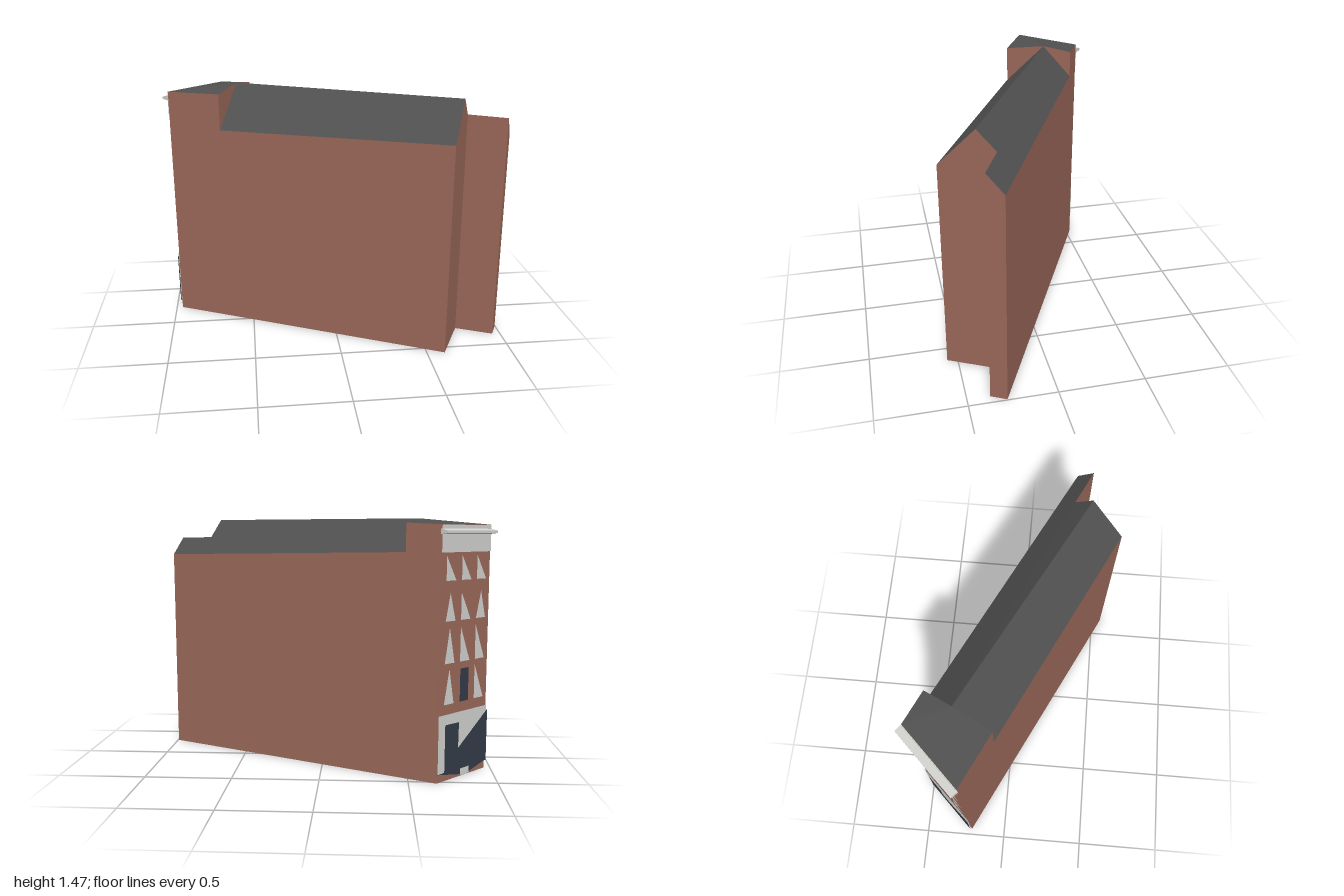
import * as THREE from 'three';

const material = (name, color, side = THREE.FrontSide) => {
  const m = new THREE.MeshStandardMaterial({ color, side });
  m.name = name;
  return m;
};

export function createModel() {
  const brick = material('brick', 0x986658);
  const slate = material('slate', 0x505050);
  const stone = material('pale stone', 0xcececb, THREE.DoubleSide);
  const glass = material('dark glass', 0x323a45, THREE.DoubleSide);

  const model = new THREE.Group();
  model.name = 'townhouse';

  // Plan corners as [x, z]
  const A = [-0.963, -0.213], B = [-0.657, -0.527]; // street front
  const P = [-0.66, -0.064], R = [-0.553, -0.28], Q = [-0.473, -0.437]; // step behind the street front
  const C = [0.605, 0.56], X = [0.697, 0.372], E = [0.745, 0.275]; // far gable
  const F = [0.952, 0.372], D = [0.995, 0.285]; // narrow rear wing
  const at = ([x, z], y) => [x, y, z];

  // One flat-faced mesh from convex polygons
  function faces(name, mat, polygons) {
    const pos = [];
    for (const p of polygons)
      for (let i = 1; i < p.length - 1; i++) pos.push(...p[0], ...p[i], ...p[i + 1]);
    const g = new THREE.BufferGeometry();
    g.setAttribute('position', new THREE.Float32BufferAttribute(pos, 3));
    g.computeVertexNormals();
    const mesh = new THREE.Mesh(g, mat);
    mesh.name = name;
    model.add(mesh);
  }
  const wall = (p, yp, q, yq) => [at(p, 0), at(q, 0), at(q, yq), at(p, yp)];

  // Outer walls, anticlockwise around the plan
  faces('walls', brick, [
    wall(A, 1.43, P, 1.435), wall(P, 1.22, C, 1.25),
    wall(C, 1.25, X, 1.465), wall(X, 1.465, E, 1.355),
    wall(E, 1.355, F, 1.35), wall(F, 1.35, D, 1.245),
    wall(D, 1.245, Q, 1.28), wall(Q, 1.44, B, 1.43), wall(B, 1.43, A, 1.43),
  ]);
  // Wall pieces rising above the main roof
  faces('stepWall', brick, [
    [at(P, 1.22), at(R, 1.465), at(P, 1.435)],
    [at(R, 1.465), at(Q, 1.28), at(Q, 1.44)],
  ]);
  faces('base', brick, [[A, B, E], [A, E, C], [B, D, E], [E, D, F]]
    .map((t) => t.map((p) => at(p, 0))));

  // Roofs
  faces('frontRoofSlope', slate, [[at(P, 1.22), at(C, 1.25), at(X, 1.465), at(R, 1.465)]]);
  faces('backRoofSlope', slate, [
    [at(R, 1.465), at(X, 1.465), at(E, 1.355)],
    [at(Q, 1.28), at(R, 1.465), at(E, 1.355)],
    [at(Q, 1.28), at(E, 1.355), at(D, 1.245)],
    [at(E, 1.355), at(F, 1.35), at(D, 1.245)],
  ]);
  faces('streetBlockRoof', slate, [
    [at(A, 1.43), at(P, 1.435), at(R, 1.465)],
    [at(A, 1.43), at(R, 1.465), at(B, 1.43)],
    [at(R, 1.465), at(Q, 1.44), at(B, 1.43)],
  ]);

  // Street front: local x runs B to A, local z points outward
  const front = new THREE.Group();
  front.name = 'streetFront';
  front.position.set(B[0], 0, B[1]);
  front.rotation.y = Math.atan2(-(A[1] - B[1]), A[0] - B[0]);
  model.add(front);
  const width = Math.hypot(A[0] - B[0], A[1] - B[1]);

  function plate(name, mat, points, depth) {
    const shape = new THREE.Shape(points.map(([x, y]) => new THREE.Vector2(x, y)));
    const mesh = new THREE.Mesh(new THREE.ShapeGeometry(shape), mat);
    mesh.name = name;
    mesh.position.z = depth;
    front.add(mesh);
  }
  const rect = (x0, y0, x1, y1) => [[x0, y0], [x1, y0], [x1, y1], [x0, y1]];

  // Triangular panes: sill height, pane height, apex position per column
  const rows = [
    [1.127, 0.135, [0, 0, 0]],
    [0.905, 0.155, [0.45, 0, 0.5]],
    [0.67, 0.2, [0.45, 0, 0]],
    [0.44, 0.2, [0.5, null, 0]],
  ];
  for (const [y, h, apexes] of rows) {
    apexes.forEach((apex, i) => {
      const x = 0.043 + i * 0.136, w = 0.086;
      if (apex === null) plate('darkWindow', glass, rect(x + 0.005, y, x + w - 0.005, y + h - 0.01), 0.005);
      else plate('window', stone, [[x, y], [x + w, y], [x + w * apex, y + h]], 0.005);
    });
  }

  // Ground floor
  plate('shopSurround', stone, rect(0, 0.05, width, 0.383), 0.006);
  plate('shopGlazing', glass, [[0.05, 0.05], [width, 0.05], [width, 0.36], [0.17, 0.175], [0.173, 0.325], [0.05, 0.327]], 0.013);
  plate('doorStep', stone, rect(0.204, 0.005, 0.284, 0.055), 0.006);
  plate('leftPlinth', glass, [[0, 0.05], [0.204, 0.012], [0.204, 0.055]], 0.006);
  plate('rightPlinth', glass, [[0.284, 0.012], [width, 0.05], [0.284, 0.055]], 0.006);

  // Cornice band with a projecting ledge
  plate('corniceBand', stone, rect(0, 1.28, width, 1.428), 0.005);
  const section = new THREE.Shape([[0, 1.378], [0.046, 1.383], [0.046, 1.396], [0, 1.408]]
    .map(([z, y]) => new THREE.Vector2(-z, y)));
  const ledge = new THREE.Mesh(
    new THREE.ExtrudeGeometry(section, { depth: width + 0.012, bevelEnabled: false }), stone);
  ledge.name = 'corniceLedge';
  ledge.rotation.y = Math.PI / 2;
  ledge.position.x = -0.006;
  front.add(ledge);

  return model;
}
